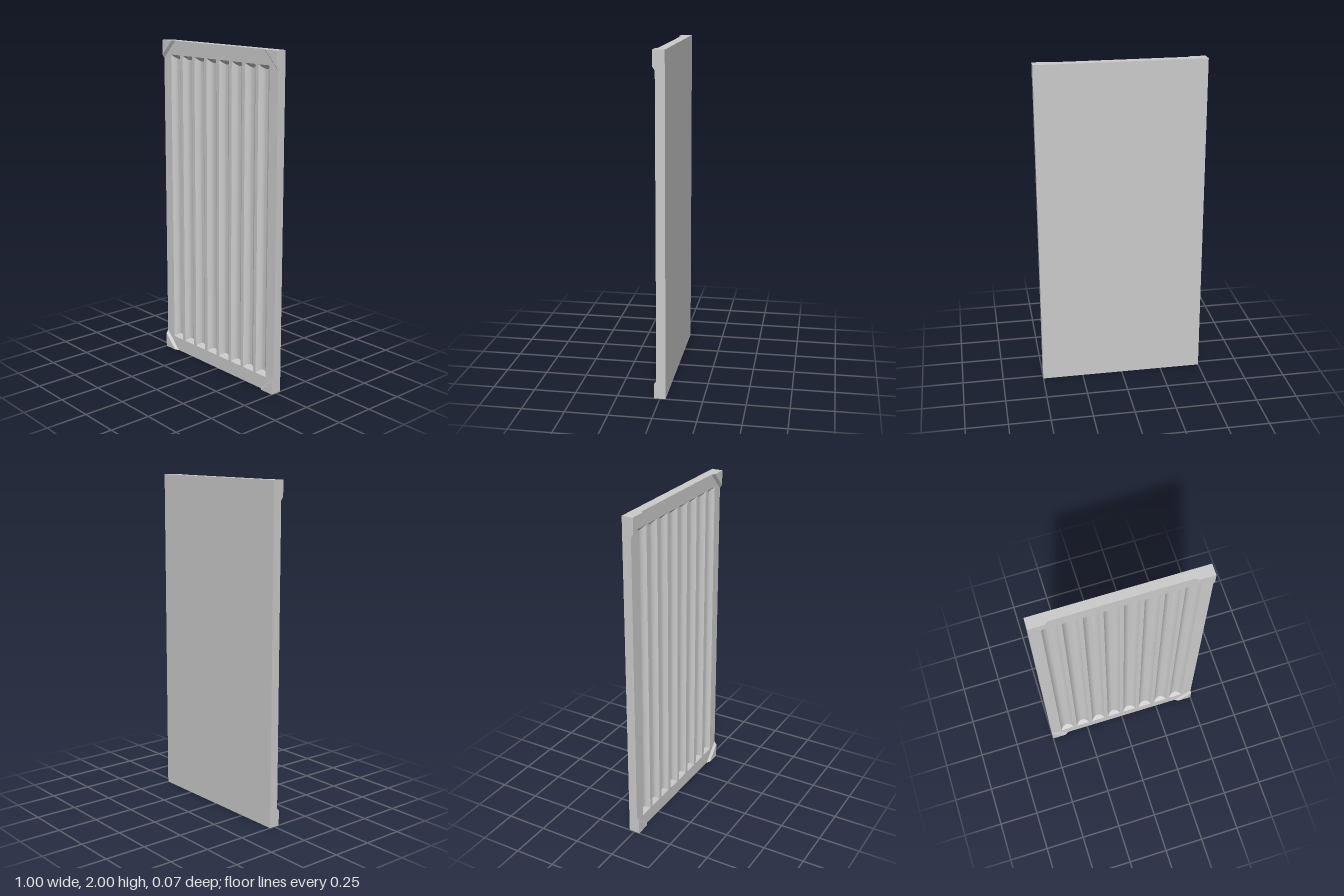
import * as THREE from 'three';
import { mergeGeometries, toCreasedNormals } from 'three/addons/utils/BufferGeometryUtils.js';

const W = 1, H = 2, BACK = -0.034, FACE = 0.02, FRONT = 0.034;
const GROOVES = 8, PITCH = 0.111, GW = 0.087, GH = 1.83, DEPTH = 0.025;

const material = new THREE.MeshStandardMaterial({ color: 0xcccccc });
const grooveX = (i) => (i - (GROOVES - 1) / 2) * PITCH;

// Slab: a box whose front is replaced by a face with groove openings
function slabGeometry() {
  const box = new THREE.BoxGeometry(W, H, FACE - BACK);
  box.setIndex(Array.from(box.index.array).filter((_, i) => i < 24 || i >= 30));
  box.translate(0, H / 2, (FACE + BACK) / 2);

  const rect = (path, x, y, w, h) => path
    .moveTo(x - w / 2, y - h / 2).lineTo(x + w / 2, y - h / 2)
    .lineTo(x + w / 2, y + h / 2).lineTo(x - w / 2, y + h / 2).closePath();
  const shape = new THREE.Shape();
  rect(shape, 0, H / 2, W, H);
  for (let i = 0; i < GROOVES; i++) {
    const hole = new THREE.Path();
    rect(hole, grooveX(i), H / 2, GW, GH);
    shape.holes.push(hole);
  }
  const face = new THREE.ShapeGeometry(shape).translate(0, 0, FACE);
  return mergeGeometries([box, face]);
}

// Groove: circular-arc trough with 45 degree ramps at both ends
function grooveGeometry() {
  const radius = (GW * GW / 4 + DEPTH * DEPTH) / (2 * DEPTH);
  const g = new THREE.PlaneGeometry(GW, GH, 10, 3);
  const p = g.attributes.position;
  for (let i = 0; i < p.count; i++) {
    const x = p.getX(i), y = p.getY(i);
    const d = Math.max(0, Math.sqrt(radius * radius - x * x) - radius + DEPTH);
    if (Math.abs(y) < GH / 2 - 0.01) {
      p.setY(i, Math.sign(y) * (GH / 2 - d));
      p.setZ(i, -d);
    }
  }
  return toCreasedNormals(g, 0.5);
}

// Corner plate: raised triangle with a bevelled long edge, corner at the origin
function cornerGeometry() {
  const base = 0.11, top = 0.09;
  const tri = new THREE.Shape().moveTo(0, 0).lineTo(base, 0).lineTo(0, base).closePath();
  const g = new THREE.ExtrudeGeometry(tri, { depth: FRONT - FACE, bevelEnabled: false });
  const p = g.attributes.position;
  for (let i = 0; i < p.count; i++) {
    if (p.getZ(i) > 0.001) p.setXY(i, p.getX(i) * top / base, p.getY(i) * top / base);
  }
  g.computeVertexNormals();
  return g;
}

export function createModel() {
  const group = new THREE.Group();
  group.name = 'flutedPanel';
  const add = (name, geometry, x, y, z) => {
    const mesh = new THREE.Mesh(geometry, material);
    mesh.name = name;
    mesh.position.set(x, y, z);
    group.add(mesh);
    return mesh;
  };

  add('slab', slabGeometry(), 0, 0, 0);

  const groove = grooveGeometry();
  for (let i = 0; i < GROOVES; i++) add('groove' + (i + 1), groove, grooveX(i), H / 2, FACE);

  // Corner plates, each a quarter turn from the last
  const corner = cornerGeometry();
  [[-1, 0], [1, 0], [1, 1], [-1, 1]].forEach(([sx, sy], i) => {
    add('cornerPlate' + (i + 1), corner, sx * W / 2, sy * H, FACE).rotation.z = i * Math.PI / 2;
  });
  return group;
}
